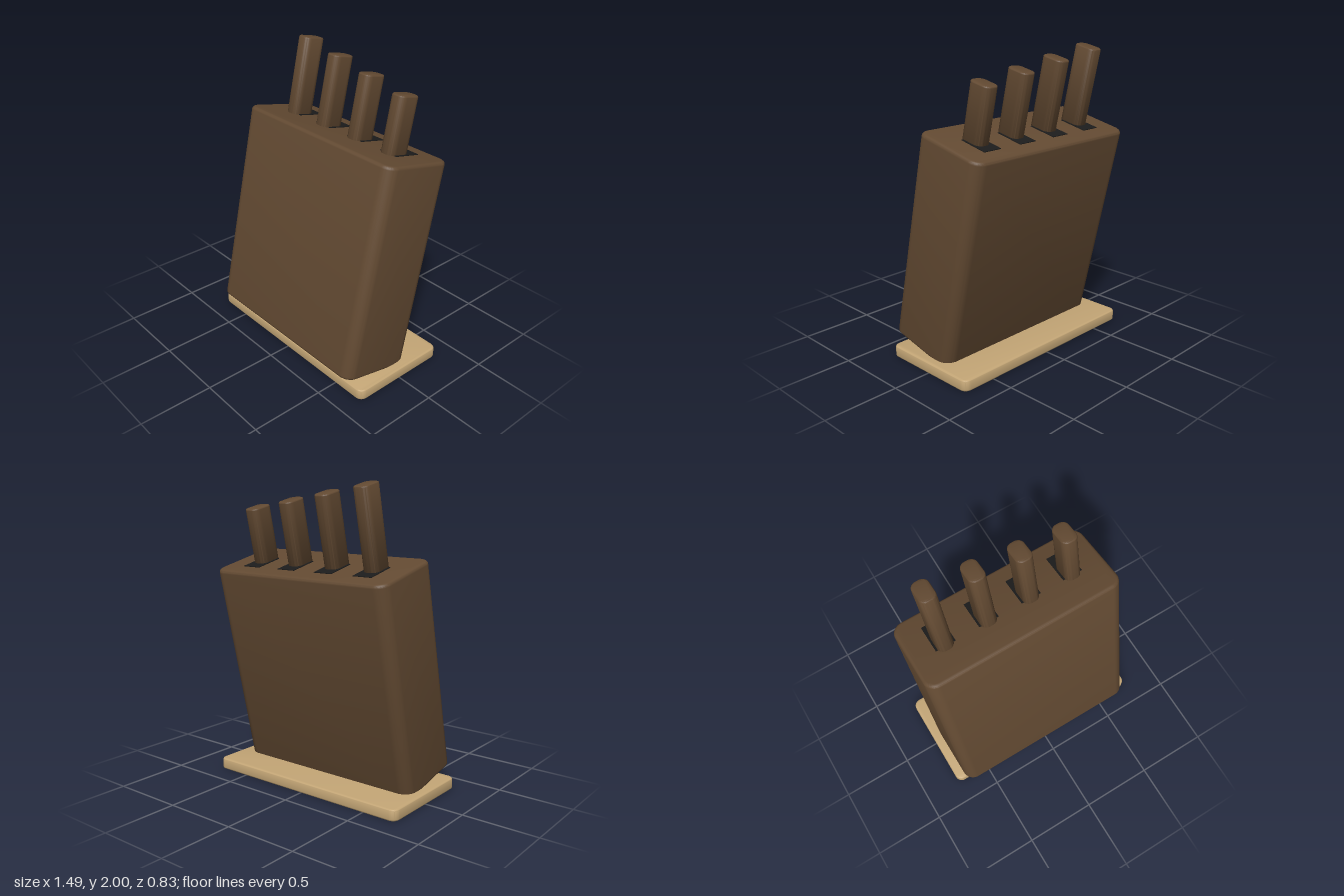
import * as THREE from 'three';
import { toCreasedNormals } from 'three/addons/utils/BufferGeometryUtils.js';

// Upright slab with rounded plan corners and softened top and bottom edges, standing on y = 0
function roundedSlab(width, height, depth, radius, bevel) {
  const w = width / 2 - bevel, d = depth / 2 - bevel, r = radius - bevel;
  const plan = new THREE.Shape();
  plan.absarc(w - r, d - r, r, 0, Math.PI / 2);
  plan.absarc(-w + r, d - r, r, Math.PI / 2, Math.PI);
  plan.absarc(-w + r, -d + r, r, Math.PI, Math.PI * 1.5);
  plan.absarc(w - r, -d + r, r, Math.PI * 1.5, Math.PI * 2);
  plan.closePath();
  const geometry = new THREE.ExtrudeGeometry(plan, {
    depth: height - 2 * bevel, bevelSize: bevel, bevelThickness: bevel,
    bevelSegments: 4, curveSegments: 8,
  });
  geometry.translate(0, 0, bevel);
  geometry.rotateX(-Math.PI / 2);
  return toCreasedNormals(geometry, 0.6);
}

export function createModel() {
  const darkWood = new THREE.MeshStandardMaterial({ name: 'darkWood', color: 0x634a32 });
  const paleWood = new THREE.MeshStandardMaterial({ name: 'paleWood', color: 0xc4a676 });
  const slotBlack = new THREE.MeshStandardMaterial({ name: 'slotBlack', color: 0x1c1c1c });

  const model = new THREE.Group();
  model.name = 'knifeBlock';
  const add = (parent, name, geometry, material, x, y, z) => {
    const mesh = new THREE.Mesh(geometry, material);
    mesh.name = name;
    mesh.position.set(x, y, z);
    parent.add(mesh);
  };

  // Foot board
  add(model, 'base', roundedSlab(1.49, 0.075, 0.71, 0.05, 0.012), paleWood, 0, 0, 0);

  // Block leaning back, with everything it holds
  const height = 1.425;
  const leaning = new THREE.Group();
  leaning.name = 'leaningBlock';
  leaning.position.set(0, 0.783, 0);
  leaning.rotation.x = -0.22;
  model.add(leaning);
  add(leaning, 'block', roundedSlab(1.364, height, 0.54, 0.08, 0.022), darkWood, 0, -height / 2, 0);

  // Four handles, shorter towards the left, each in its slot
  const sunk = 0.05;
  for (let i = 0; i < 4; i++) {
    const x = -0.45 + i * 0.3;
    const length = 0.52 - i * 0.051;
    add(leaning, 'slot', new THREE.BoxGeometry(0.136, 0.008, 0.2), slotBlack, x, height / 2, -0.05);
    add(leaning, 'handle', roundedSlab(0.11, length + sunk, 0.167, 0.045, 0.01), darkWood,
      x, height / 2 - sunk, 0);
  }
  return model;
}
